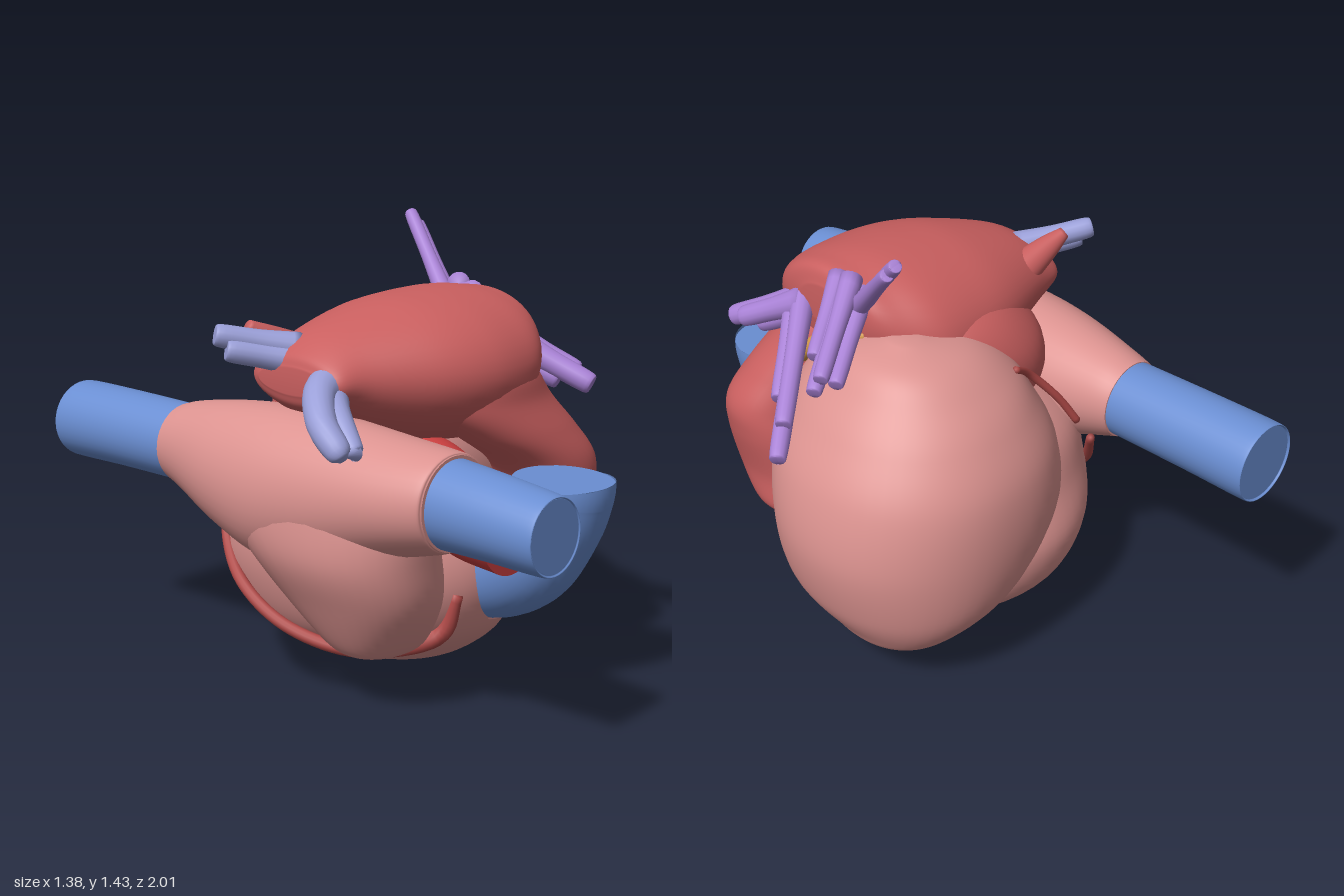
import * as THREE from 'three';

const mat = (name, color) => {
  const m = new THREE.MeshStandardMaterial({ color });
  m.name = name;
  return m;
};

// In-plane axes of a cross-section stacked along x, y or z (u cross v = axis)
const AXES = {
  x: [new THREE.Vector3(0, 1, 0), new THREE.Vector3(0, 0, 1)],
  y: [new THREE.Vector3(0, 0, 1), new THREE.Vector3(1, 0, 0)],
  z: [new THREE.Vector3(1, 0, 0), new THREE.Vector3(0, 1, 0)],
};

// Smooth skin over sections [x, y, z, ru, rv]. With an axis the sections stay
// parallel and must ascend; without one they follow the path. Ends are closed.
function skin(sections, { axis, sides = 40, steps = 8, power = 2, flat = false } = {}) {
  const curve = new THREE.CatmullRomCurve3(
    sections.map((s) => new THREE.Vector3(s[0], s[1], s[2])), false, 'catmullrom', 0.5);
  const radii = new THREE.CatmullRomCurve3(
    sections.map((s) => new THREE.Vector3(s[3], s[4] ?? s[3], 0)), false, 'catmullrom', 0.5);
  const size = new THREE.Box3().setFromPoints(curve.points).getSize(new THREE.Vector3());
  const least = Math.min(size.x, size.y, size.z);
  const ref = new THREE.Vector3(+(size.x === least), +(size.x !== least && size.y === least),
    +(size.x !== least && size.y !== least));
  const n = (sections.length - 1) * steps;
  const pos = [], index = [];
  const bend = (c) => Math.sign(c) * Math.pow(Math.abs(c), 2 / power);
  for (let i = 0; i <= n; i++) {
    const c = curve.getPoint(i / n), r = radii.getPoint(i / n);
    let [u, v] = axis ? AXES[axis] : [];
    if (!axis) {
      const t = curve.getTangent(i / n);
      u = ref.clone().cross(t).normalize();
      v = t.clone().cross(u);
    }
    for (let j = 0; j < sides; j++) {
      const a = (j / sides) * Math.PI * 2;
      const p = c.clone()
        .addScaledVector(u, Math.max(r.x, 0.003) * bend(Math.cos(a)))
        .addScaledVector(v, Math.max(r.y, 0.003) * bend(Math.sin(a)));
      pos.push(p.x, p.y, p.z);
    }
  }
  for (let i = 0; i < n; i++) {
    for (let j = 0; j < sides; j++) {
      const a = i * sides + j, b = i * sides + ((j + 1) % sides);
      index.push(a, b, a + sides, b, b + sides, a + sides);
    }
  }
  // End caps, with their own rim when they should look cut
  for (const [ring, end] of [[0, 0], [n, 1]]) {
    let start = ring * sides;
    if (flat) {
      const rim = pos.slice(start * 3, (start + sides) * 3);
      start = pos.length / 3;
      pos.push(...rim);
    }
    const mid = pos.length / 3, c = curve.getPoint(end);
    pos.push(c.x, c.y, c.z);
    for (let j = 0; j < sides; j++) {
      const a = start + j, b = start + ((j + 1) % sides);
      if (end) index.push(mid, a, b);
      else index.push(mid, b, a);
    }
  }
  const g = new THREE.BufferGeometry();
  g.setAttribute('position', new THREE.Float32BufferAttribute(pos, 3));
  g.setIndex(index);
  g.computeVertexNormals();
  return g;
}

export function createModel() {
  const model = new THREE.Group();
  const pink = mat('muscle pink', 0xdc9390);
  const rose = mat('atrium red', 0xc95f5f);
  const red = mat('artery red', 0xcc4040);
  const blue = mat('vein blue', 0x6a8ed2);
  const purple = mat('left vein purple', 0xa982d6);
  const lavender = mat('right vein lavender', 0x9a9fd8);
  const orange = mat('coronary orange', 0xd69a4c);
  const dark = mat('coronary dark red', 0xb04a48);

  const add = (name, material, sections, options) => {
    const mesh = new THREE.Mesh(skin(sections, options), material);
    mesh.name = name;
    model.add(mesh);
  };
  // Row form [y, cx, cz, rx, rz] for bodies stacked upward
  const stack = (rows) => rows.map(([y, x, z, rx, rz]) => [x, y, z, rz, rx]);

  // Ventricles
  add('leftVentricle', pink, stack([
    [0.105, 0.42, -0.2, 0.02, 0.02], [0.13, 0.41, -0.2, 0.1, 0.15], [0.18, 0.36, -0.2, 0.19, 0.25],
    [0.3, 0.27, -0.16, 0.35, 0.38], [0.5, 0.205, -0.15, 0.455, 0.425], [0.7, 0.19, -0.13, 0.435, 0.43],
    [0.85, 0.18, -0.11, 0.36, 0.38], [0.95, 0.17, -0.1, 0.29, 0.31], [1.03, 0.19, -0.11, 0.19, 0.2],
    [1.075, 0.22, -0.12, 0.04, 0.04],
  ]), { axis: 'y', sides: 56, power: 2.15 });
  add('rightVentricle', pink, stack([
    [0.003, 0.03, -0.05, 0.02, 0.02], [0.03, 0.04, -0.02, 0.17, 0.2], [0.1, 0.02, -0.02, 0.32, 0.34],
    [0.2, -0.02, -0.03, 0.405, 0.45], [0.35, -0.05, -0.03, 0.445, 0.49], [0.5, -0.07, -0.03, 0.44, 0.44],
    [0.65, -0.07, -0.07, 0.39, 0.34], [0.78, -0.04, -0.08, 0.25, 0.2], [0.85, -0.02, -0.08, 0.06, 0.06],
  ]), { axis: 'y', sides: 56 });
  add('outflowCollar', pink, [
    [0.05, 0.35, 0.2, 0.2, 0.21], [0.05, 0.36, 0.35, 0.185, 0.18], [0.05, 0.37, 0.43, 0.165, 0.16],
  ], { axis: 'z' });

  // Right atrium: chamber along the great veins, with the appendage below
  add('rightAtrium', pink, [
    [-0.44, 0.72, -0.48, 0.13, 0.13], [-0.44, 0.715, -0.4, 0.15, 0.155], [-0.45, 0.69, -0.2, 0.195, 0.21],
    [-0.455, 0.67, 0, 0.215, 0.245], [-0.45, 0.68, 0.2, 0.21, 0.23], [-0.44, 0.705, 0.45, 0.19, 0.18],
    [-0.435, 0.72, 0.62, 0.16, 0.15], [-0.43, 0.72, 0.645, 0.145, 0.14],
  ], { axis: 'z', flat: true });
  add('rightAppendage', pink, stack([
    [0.165, -0.34, 0.27, 0.08, 0.05], [0.2, -0.34, 0.26, 0.15, 0.14], [0.35, -0.38, 0.235, 0.2, 0.265],
    [0.5, -0.42, 0.19, 0.23, 0.335], [0.65, -0.44, 0.12, 0.215, 0.4], [0.76, -0.45, 0.1, 0.18, 0.34],
    [0.85, -0.44, 0.08, 0.08, 0.15],
  ]), { axis: 'y', power: 2.2 });

  // Great veins entering front and back of the right atrium
  add('frontGreatVein', blue, [
    [-0.43, 0.72, 0.6, 0.135], [-0.435, 0.71, 0.8, 0.125], [-0.435, 0.695, 0.985, 0.115], [-0.435, 0.695, 1, 0.105],
  ], { axis: 'z', flat: true });
  add('backGreatVein', blue, [
    [-0.44, 0.725, -1, 0.122], [-0.44, 0.725, -0.985, 0.13], [-0.44, 0.725, -0.75, 0.128], [-0.44, 0.72, -0.4, 0.125],
  ], { axis: 'z', flat: true });

  // Left atrium, its lower back wall and its appendage
  add('leftAtrium', rose, [
    [-0.525, 1.01, 0.09, 0.04, 0.14], [-0.5, 1.01, 0.09, 0.085, 0.185], [-0.4, 1.01, 0.095, 0.145, 0.22],
    [-0.2, 1.005, 0.125, 0.21, 0.315], [-0.05, 1, 0.14, 0.235, 0.35], [0.1, 1, 0.145, 0.24, 0.345],
    [0.2, 1.025, 0.165, 0.205, 0.295], [0.27, 1.08, 0.17, 0.135, 0.21], [0.295, 1.1, 0.17, 0.06, 0.1],
  ], { axis: 'x', sides: 48, power: 1.95 });
  add('leftAtriumBack', rose, stack([
    [0.7, -0.18, -0.11, 0.06, 0.06], [0.76, -0.17, -0.1, 0.15, 0.16], [0.85, -0.15, -0.07, 0.21, 0.225],
    [0.95, -0.1, -0.05, 0.25, 0.235], [1.05, -0.05, 0.01, 0.23, 0.23], [1.13, -0.03, 0.06, 0.15, 0.15],
  ]), { axis: 'y' });
  add('leftAppendage', rose, stack([
    [0.305, 0.35, 0.3, 0.04, 0.05], [0.34, 0.335, 0.32, 0.1, 0.125], [0.45, 0.315, 0.37, 0.125, 0.17],
    [0.6, 0.315, 0.39, 0.155, 0.17], [0.7, 0.28, 0.4, 0.19, 0.16], [0.8, 0.18, 0.37, 0.23, 0.165],
    [0.9, 0.09, 0.32, 0.25, 0.18], [1, 0.05, 0.28, 0.23, 0.2], [1.1, 0.03, 0.25, 0.16, 0.15],
  ]), { axis: 'y', power: 2.1 });
  add('atriumStub', rose, [[-0.36, 1.06, -0.06, 0.06], [-0.46, 1.115, -0.08, 0.04], [-0.52, 1.155, -0.1, 0.02]]);

  // Great arteries
  add('aorta', red, [
    [-0.06, 0.68, 0.1, 0.12], [-0.12, 0.66, 0.3, 0.14], [-0.18, 0.62, 0.48, 0.142], [-0.2, 0.6, 0.67, 0.138],
  ], { axis: 'z', flat: true });
  add('pulmonaryArtery', blue, [
    [0.05, 0.35, 0.28, 0.14], [0.05, 0.365, 0.42, 0.15], [0.05, 0.44, 0.545, 0.155],
    [0.065, 0.57, 0.625, 0.152], [0.07, 0.66, 0.65, 0.157], [0.07, 0.695, 0.652, 0.158],
  ], { flat: true });

  // Lung veins: [start, end, radius, list of offsets making a bundle]
  const bundle = (name, material, a, b, r, offsets) => offsets.forEach(([dx, dy, dz, cut], i) => {
    const at = (t, k) => [...a.map((p, q) => p + (b[q] - p) * t + [dx, dy, dz][q]), r * k];
    add(`${name}${i + 1}`, material,
      [at(0, 1.3), at(cut * 0.5, 1), at(cut * 0.97, 0.9), at(cut, 0.45)], { sides: 14, steps: 5 });
  });
  bundle('upperLeftVein', purple, [0.26, 1.16, 0.02], [0.37, 1.415, -0.235], 0.025,
    [[0, 0, 0, 1], [0.02, -0.01, 0, 0.9]]);
  bundle('middleLeftVein', purple, [0.25, 1.19, 0.1], [0.565, 1.02, -0.09], 0.028,
    [[0, 0, 0, 1], [0.01, 0.03, -0.03, 0.92], [-0.02, -0.02, -0.05, 0.85], [0, 0.01, 0.035, 0.75]]);
  bundle('lowerLeftVein', purple, [0.24, 1.06, 0.32], [0.665, 0.805, -0.03], 0.031,
    [[0, 0, 0, 1], [0, 0.035, -0.01, 0.85], [-0.01, 0.01, 0.04, 0.7]]);
  bundle('frontLeftVein', purple, [0.25, 1.06, 0.3], [0.345, 0.935, 0.545], 0.038,
    [[0, 0, 0, 1], [0.03, 0.01, -0.03, 0.85], [0, -0.03, -0.03, 0.7]]);
  bundle('upperRightVein', lavender, [-0.43, 1.09, 0.03], [-0.635, 1.14, -0.115], 0.038,
    [[0, 0, 0, 1], [0, -0.04, 0.03, 0.95]]);
  add('lowerRightVein', lavender, [
    [-0.45, 1.01, 0.18, 0.065], [-0.56, 0.99, 0.24, 0.05], [-0.63, 0.93, 0.32, 0.045],
    [-0.65, 0.87, 0.4, 0.038], [-0.65, 0.85, 0.42, 0.015],
  ], { sides: 18 });
  add('lowerRightVeinBranch', lavender, [
    [-0.46, 0.98, 0.2, 0.045], [-0.55, 0.95, 0.3, 0.04], [-0.6, 0.87, 0.41, 0.03], [-0.6, 0.86, 0.42, 0.015],
  ], { sides: 18 });

  // Coronary vessels lying in the grooves
  add('leftCoronary', orange, [
    [0.27, 1.05, 0.0, 0.018], [0.3, 1.01, 0.14, 0.022], [0.32, 0.92, 0.23, 0.022], [0.3, 0.8, 0.3, 0.018],
    [0.33, 0.55, 0.29, 0.016], [0.345, 0.34, 0.25, 0.016], [0.355, 0.25, 0.205, 0.017], [0.365, 0.18, 0.145, 0.02],
    [0.37, 0.135, 0.03, 0.025], [0.37, 0.11, -0.2, 0.02], [0.325, 0.13, -0.34, 0.018], [0.29, 0.18, -0.43, 0.014],
  ], { sides: 12 });
  add('rightCoronary', dark, [
    [-0.32, 0.6, -0.42, 0.014], [-0.42, 0.43, -0.32, 0.018], [-0.485, 0.31, -0.17, 0.02],
    [-0.47, 0.21, 0.02, 0.02], [-0.37, 0.16, 0.22, 0.022], [-0.2, 0.2, 0.38, 0.03], [-0.17, 0.34, 0.44, 0.018],
  ], { sides: 12 });
  add('backCoronary', dark, [
    [-0.27, 0.68, -0.4, 0.013], [-0.21, 0.78, -0.365, 0.013], [-0.12, 0.885, -0.325, 0.013], [-0.03, 0.95, -0.345, 0.011],
  ], { sides: 10 });

  return model;
}
